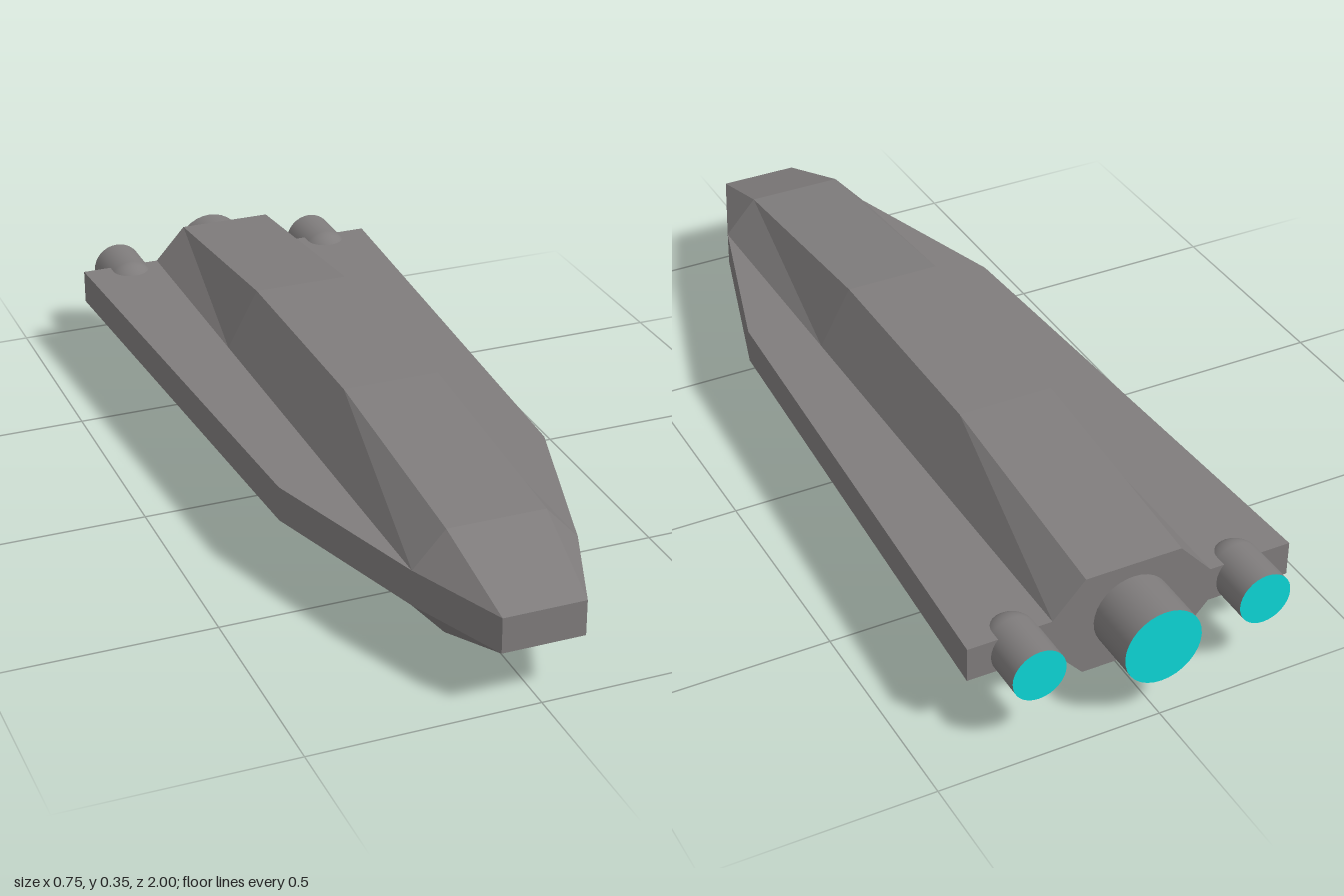
import * as THREE from 'three';

const MID_Y = 0.175; // height of the centre line
const WAIST_LOW = 0.135, WAIST_HIGH = 0.215;

// Loft an eight-sided ring through [z, waist half-width, deck half-width, bottom, top], rear to front
function loftHull(sections) {
  const rings = sections.map(([z, m, t, low, high]) => [
    [m, WAIST_LOW], [m, WAIST_HIGH], [t, high], [-t, high],
    [-m, WAIST_HIGH], [-m, WAIST_LOW], [-t, low], [t, low],
  ].map(([x, y]) => new THREE.Vector3(x, y, z)));
  const out = [];
  const tri = (a, b, c) => {
    if (new THREE.Triangle(a, b, c).getArea() < 1e-7) return;
    for (const p of [a, b, c]) out.push(p.x, p.y, p.z);
  };
  for (let s = 0; s < rings.length - 1; s++) {
    const r = rings[s], f = rings[s + 1];
    for (let i = 0; i < 8; i++) {
      const j = (i + 1) % 8;
      tri(r[i], r[j], f[j]);
      tri(r[i], f[j], f[i]);
    }
  }
  const rear = rings[0], front = rings[rings.length - 1];
  for (let i = 1; i < 7; i++) {
    tri(front[0], front[i], front[i + 1]);
    tri(rear[0], rear[i + 1], rear[i]);
  }
  const geo = new THREE.BufferGeometry();
  geo.setAttribute('position', new THREE.Float32BufferAttribute(out, 3));
  geo.computeVertexNormals();
  return geo;
}

export function createModel() {
  const group = new THREE.Group();
  const hullGrey = new THREE.MeshStandardMaterial({ color: 0x7f7c7c });
  hullGrey.name = 'hullGrey';
  const engineGlow = new THREE.MeshStandardMaterial({ color: 0x0cd6d6 });
  engineGlow.name = 'engineGlow';

  const add = (name, geo, mat, parent = group) => {
    const mesh = new THREE.Mesh(geo, mat);
    mesh.name = name;
    parent.add(mesh);
    return mesh;
  };

  // Faceted hull
  add('hull', loftHull([
    [-0.875, 0.183, 0.11, 0.055, 0.295],
    [-0.33, 0.183, 0.11, 0, 0.348],
    [0.22, 0.183, 0.11, 0, 0.348],
    [0.77, 0.183, 0.11, 0.055, 0.295],
    [1, 0.091, 0.091, WAIST_LOW, WAIST_HIGH],
  ]), hullGrey);

  // Engine pointing backwards, with a glowing rear disc
  const engine = (name, x, radius, rearZ, frontZ, rounded) => {
    const g = new THREE.Group();
    g.name = name;
    const length = frontZ - rearZ;
    const body = new THREE.CylinderGeometry(radius, radius, length, 32).rotateX(-Math.PI / 2);
    add('nozzle', body, [hullGrey, engineGlow, hullGrey], g).position.z = rearZ + length / 2;
    if (rounded) {
      const cap = new THREE.SphereGeometry(radius, 32, 12, 0, Math.PI * 2, Math.PI / 2, Math.PI / 2);
      add('roundedNose', cap.rotateX(-Math.PI / 2), hullGrey, g).position.z = frontZ;
    }
    g.position.set(x, MID_Y, 0);
    group.add(g);
  };
  engine('mainEngine', 0, 0.088, -1, -0.87, false);

  // Flat side wings, each carrying a small engine
  for (const [side, s] of [['left', 1], ['right', -1]]) {
    const plan = [[0.183, 0.77], [0.309, 0.35], [0.373, -0.875], [0.183, -0.875]];
    const shape = new THREE.Shape(plan.map(([x, z]) => new THREE.Vector2(s * x, -z)));
    const wing = new THREE.ExtrudeGeometry(shape, { depth: WAIST_HIGH - WAIST_LOW, bevelEnabled: false });
    add(side + 'Wing', wing.rotateX(-Math.PI / 2), hullGrey).position.y = WAIST_LOW;
    engine(side + 'Engine', s * 0.26, 0.06, -0.965, -0.85, true);
  }
  return group;
}
